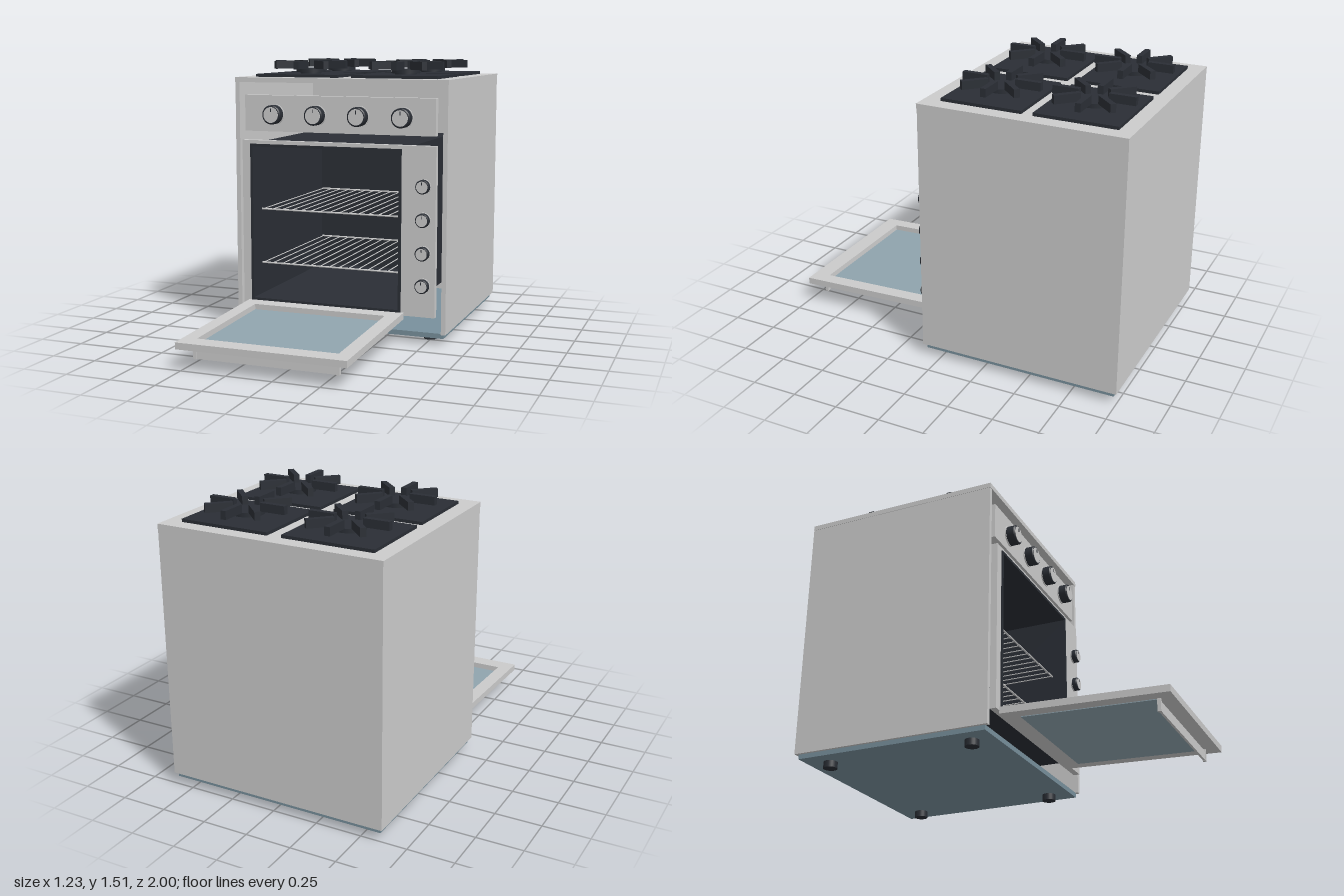
import * as THREE from 'three';

const mat = (color) => new THREE.MeshStandardMaterial({ color });
const grey = mat(0xcccccc);
const black = mat(0x2a2e35);
const blue = mat(0x78909c);
const glass = mat(0x90a4ae);

function add(parent, name, geometry, material, x = 0, y = 0, z = 0) {
  const mesh = new THREE.Mesh(geometry, material);
  mesh.name = name;
  mesh.position.set(x, y, z);
  parent.add(mesh);
  return mesh;
}

// Box given by its limits on each axis
function box(parent, name, material, [x0, x1], [y0, y1], [z0, z1]) {
  return add(parent, name, new THREE.BoxGeometry(x1 - x0, y1 - y0, z1 - z0), material,
    (x0 + x1) / 2, (y0 + y1) / 2, (z0 + z1) / 2);
}

function group(parent, name, x = 0, y = 0, z = 0) {
  const g = new THREE.Group();
  g.name = name;
  g.position.set(x, y, z);
  parent.add(g);
  return g;
}

// Rectangle with a rectangular hole, extruded along +z
function frameGeometry([x0, x1, y0, y1], [a0, a1, b0, b1], depth) {
  const corners = (l, r, b, t) => [[l, b], [r, b], [r, t], [l, t]].map(([x, y]) => new THREE.Vector2(x, y));
  const shape = new THREE.Shape(corners(x0, x1, y0, y1));
  shape.holes.push(new THREE.Path(corners(a0, a1, b0, b1)));
  return new THREE.ExtrudeGeometry(shape, { depth, bevelEnabled: false });
}

// Round dial facing +z: bezel, dark grip, pale cap and pointer
function knob(parent, name, x, y, z, r, depth) {
  const g = group(parent, name, x, y, z);
  const disc = (part, radius, z0, z1, material, front = radius) => {
    const geo = new THREE.CylinderGeometry(front, radius, z1 - z0, 32).rotateX(Math.PI / 2);
    add(g, part, geo, material, 0, 0, (z0 + z1) / 2);
  };
  disc('knobBezel', r * 1.08, 0, 0.006, grey);
  disc('knobGrip', r, 0.006, depth - 0.006, black);
  disc('knobRim', r, depth - 0.006, depth, black, r * 0.9);
  disc('knobCap', r * 0.82, depth - 0.002, depth + 0.002, grey);
  box(g, 'knobPointer', black, [-0.002, 0.002], [r * 0.3, r * 0.7], [depth, depth + 0.004]);
}

function burner(parent, x, z) {
  const g = group(parent, 'burner', x, 0, z);
  box(g, 'burnerPlate', black, [-0.245, 0.245], [1.427, 1.443], [-0.219, 0.219]);
  add(g, 'burnerBase', new THREE.CylinderGeometry(0.06, 0.06, 0.01, 32), black, 0, 1.447, 0);
  add(g, 'burnerCap', new THREE.CylinderGeometry(0.082, 0.082, 0.022, 32), black, 0, 1.461, 0);
  for (let i = 0; i < 8; i++) {
    const arm = group(g, 'grateArm');
    arm.rotation.y = i * Math.PI / 4;
    box(arm, 'grateBar', black, [0.078, 0.217], [1.471, 1.515], [-0.015, 0.015]);
  }
}

function rack(parent, y) {
  const g = group(parent, 'ovenRack', -0.0725, y, -0.4);
  const rod = (name, length, r) => new THREE.CylinderGeometry(r, r, length, 8);
  for (const z of [-0.46, 0.46]) {
    add(g, 'rackCrossBar', rod('', 0.815, 0.005).rotateZ(Math.PI / 2), grey, 0, 0, z);
  }
  const count = 15;
  for (let i = 0; i < count; i++) {
    const x = -0.4 + 0.8 * i / (count - 1);
    add(g, 'rackWire', rod('', 0.92, 0.003).rotateX(Math.PI / 2), grey, x, 0, 0);
  }
}

export function createModel() {
  const stove = new THREE.Group();
  stove.name = 'stove';

  // Outer shell, open at the front
  const body = group(stove, 'body');
  for (const s of [-1, 1]) {
    const x = [0.59 * s, 0.615 * s].sort((a, b) => a - b);
    box(body, 'sideWall', grey, x, [0.06, 1.4], [-1, 0.105]);
  }
  box(body, 'backWall', grey, [-0.59, 0.59], [0.06, 1.4], [-1, -0.975]);
  box(body, 'cooktop', grey, [-0.617, 0.617], [1.4, 1.427], [-1, 0.108]);
  box(body, 'base', blue, [-0.6, 0.6], [0.035, 0.062], [-0.983, 0.087]);
  for (const x of [-0.493, 0.493]) {
    for (const z of [-0.855, -0.035]) {
      add(body, 'foot', new THREE.CylinderGeometry(0.037, 0.037, 0.036, 24), black, x, 0.018, z);
    }
  }

  // Burners
  for (const x of [-0.285, 0.285]) {
    for (const z of [-0.7, -0.203]) burner(stove, x, z);
  }

  // Upper control panel
  box(stove, 'controlPanel', grey, [-0.555, 0.55], [1.13, 1.33], [0.065, 0.108]);
  for (const x of [-0.375, -0.127, 0.122, 0.37]) knob(stove, 'burnerKnob', x, 1.225, 0.108, 0.053, 0.055);

  // Oven front and dark cavity
  const oven = group(stove, 'oven');
  add(oven, 'ovenFront',
    frameGeometry([-0.565, 0.56, 0.155, 1.08], [-0.51, 0.365, 0.175, 1.055], 0.035), grey, 0, 0, 0.093);
  add(oven, 'ovenCavity',
    frameGeometry([-0.515, 0.37, 0.17, 1.06], [-0.5, 0.355, 0.185, 1.045], 1.035), black, 0, 0, -0.9);
  box(oven, 'ovenBack', black, [-0.515, 0.37], [0.17, 1.06], [-0.915, -0.9]);
  for (const y of [0.685, 0.376]) rack(oven, y);
  for (const y of [0.865, 0.685, 0.505, 0.328]) knob(oven, 'ovenKnob', 0.493, y, 0.128, 0.038, 0.035);

  // Lowered door: local y runs outward from the hinge, local z points down
  const door = group(stove, 'ovenDoor', 0, 0.172, 0.13);
  door.rotation.x = Math.PI / 2 + 0.033;
  add(door, 'doorFrame',
    frameGeometry([-0.53, 0.387, 0, 0.869], [-0.455, 0.31, 0.09, 0.775], 0.036), grey);
  box(door, 'doorGlass', glass, [-0.46, 0.315], [0.085, 0.78], [0.03, 0.04]);

  // Handle below the door
  const handle = group(stove, 'doorHandle');
  box(handle, 'handleBar', grey, [-0.45, 0.31], [0.047, 0.1], [0.915, 0.927]);
  for (const x of [-0.457, 0.315]) {
    box(handle, 'handlePost', grey, [x - 0.008, x + 0.008], [0.045, 0.112], [0.912, 0.93]);
  }
  return stove;
}
